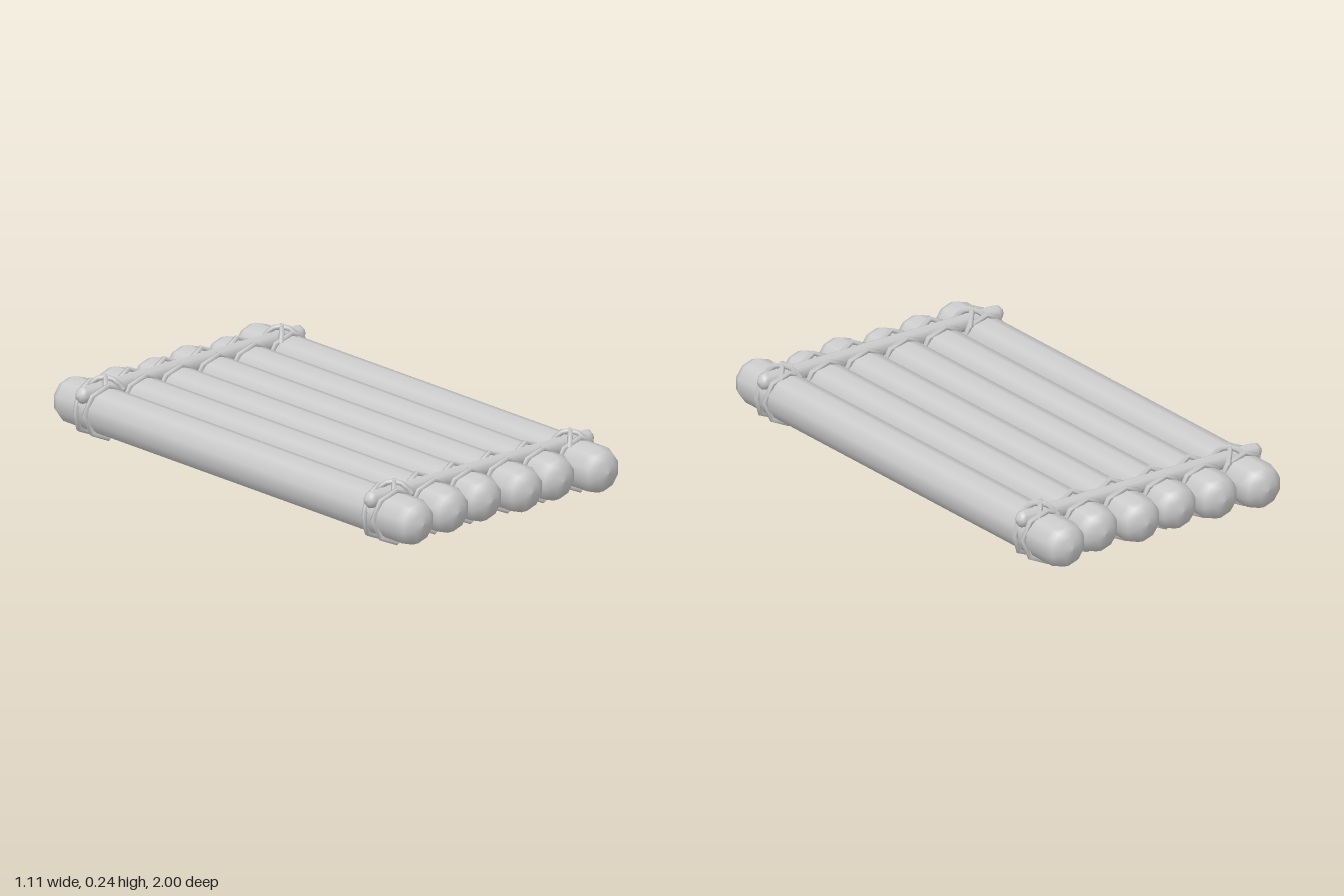
import * as THREE from 'three';

const material = new THREE.MeshStandardMaterial({ color: 0xcccccc, roughness: 0.9 });
const LOG_Y = 0.118, LOG_R = 0.089, BAR_Y = 0.186, BAR_Z = 0.79;

// Centre x and half length of each log
const LOGS = [[-0.445, 0.988], [-0.26, 0.972], [-0.085, 0.957], [0.095, 0.978], [0.27, 0.957], [0.45, 0.998]];

function add(parent, name, geometry) {
  const mesh = new THREE.Mesh(geometry, material);
  mesh.name = name;
  parent.add(mesh);
  return mesh;
}

// Round pole along y with bevelled, slightly domed ends
function poleGeometry(radius, half, bevel, sides) {
  const end = [[0, half], [radius * 0.5, half - bevel * 0.15], [radius * 0.85, half - bevel * 0.5], [radius, half - bevel]];
  const profile = [
    ...end.map(([r, y]) => new THREE.Vector2(r, -y)),
    ...end.reverse().map(([r, y]) => new THREE.Vector2(r, y)),
  ];
  return new THREE.LatheGeometry(profile, sides);
}

// Loop of rope around a log, spread away from the crossbar at top and bottom
function ropeLoopGeometry(side) {
  const points = [];
  for (let i = 0; i < 8; i++) {
    const a = (i / 8) * Math.PI * 2;
    points.push(new THREE.Vector3(
      Math.sin(a) * 0.093,
      Math.cos(a) * 0.1,
      side * (0.036 + 0.012 * Math.cos(2 * a)),
    ));
  }
  const path = new THREE.CatmullRomCurve3(points, true);
  path.getPointAt = path.getPoint;
  return new THREE.TubeGeometry(path, 8, 0.011, 5, true);
}

// Diagonal strand passing over the crossbar
function strandGeometry(side) {
  const path = new THREE.CatmullRomCurve3([
    new THREE.Vector3(-0.045, 0.185, -0.048 * side),
    new THREE.Vector3(-0.025, 0.218, -0.03 * side),
    new THREE.Vector3(0, 0.231, 0),
    new THREE.Vector3(0.025, 0.218, 0.03 * side),
    new THREE.Vector3(0.045, 0.185, 0.048 * side),
  ]);
  return new THREE.TubeGeometry(path, 6, 0.011, 5);
}

export function createModel() {
  const raft = new THREE.Group();
  raft.name = 'raft';

  // Long logs
  LOGS.forEach(([x, half], i) => {
    const log = add(raft, `log${i + 1}`, poleGeometry(LOG_R, half, 0.06, 10));
    log.rotation.x = Math.PI / 2;
    log.position.set(x, LOG_Y, 0);
  });

  for (const end of [1, -1]) {
    const label = end > 0 ? 'front' : 'back';
    const lashing = new THREE.Group();
    lashing.name = `${label}Lashing`;
    lashing.position.z = end * BAR_Z;
    raft.add(lashing);

    // Crossbar, a little thicker towards its ends
    const barGeometry = poleGeometry(0.034, 0.553, 0.03, 8);
    const bar = add(lashing, `${label}Crossbar`, barGeometry);
    bar.rotation.z = Math.PI / 2;
    bar.position.y = BAR_Y;
    bar.scale.z = 0.9;

    // Pair of rope loops on every log
    for (const [x] of LOGS) {
      for (const side of [1, -1]) {
        add(lashing, 'ropeLoop', ropeLoopGeometry(side)).position.set(x, 0.115, 0);
      }
    }

    // Crossed rope over the bar at the outer logs
    for (const x of [-0.415, 0.445]) {
      for (const side of [1, -1]) {
        add(lashing, 'crossedRope', strandGeometry(side)).position.x = x;
      }
    }
  }
  return raft;
}
